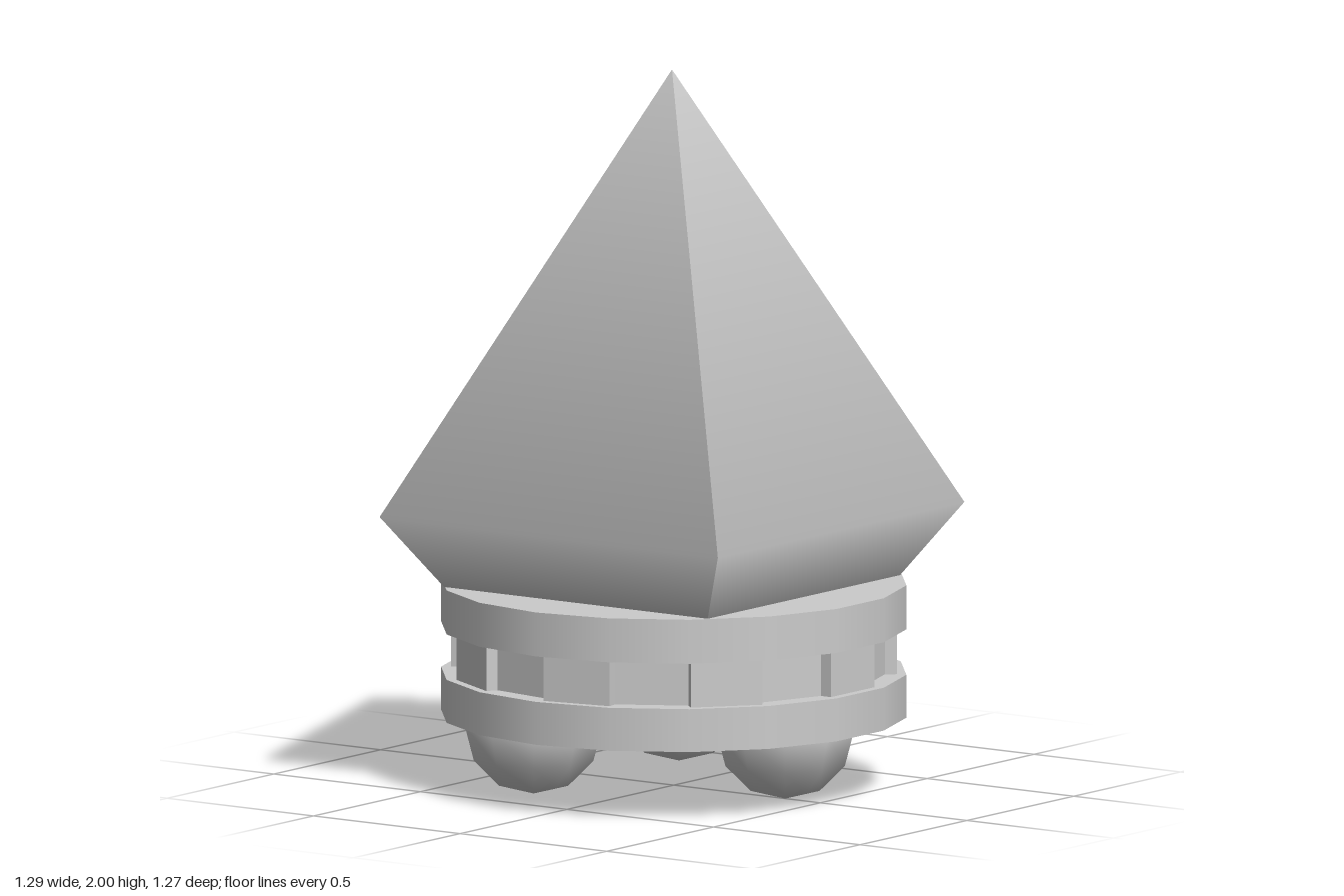
import * as THREE from 'three';

const SIDES = 18;
const material = new THREE.MeshStandardMaterial({ color: 0xcccccc });
const flatMaterial = new THREE.MeshStandardMaterial({ color: 0xcccccc, flatShading: true });

function add(parent, name, geometry, mat = material) {
  const mesh = new THREE.Mesh(geometry, mat);
  mesh.name = name;
  parent.add(mesh);
  return mesh;
}

// 18-sided drum between two heights, with corners on the x axis
function drum(radius, y0, y1) {
  return new THREE.CylinderGeometry(radius, radius, y1 - y0, SIDES, 1, false, Math.PI / SIDES)
    .translate(0, (y0 + y1) / 2, 0);
}

// One side of the crystal: undercut and long slope, smooth over the rim, sharp at the corners
function crystalSide() {
  const profile = [[0.45, 0.57], [0.577, 0.77], [0, 2]];
  const normals = [[0.84, -0.54], [0.998, -0.06], [0.905, 0.425]];
  const position = [], normal = [];
  profile.forEach(([r, y], i) => {
    const [out, up] = normals[i];
    position.push(-r, y, r, r, y, r);
    normal.push(0, up, out, 0, up, out);
  });
  const geometry = new THREE.BufferGeometry();
  geometry.setAttribute('position', new THREE.Float32BufferAttribute(position, 3));
  geometry.setAttribute('normal', new THREE.Float32BufferAttribute(normal, 3));
  geometry.setIndex([0, 1, 3, 0, 3, 2, 2, 3, 4]);
  return geometry;
}

export function createModel() {
  const model = new THREE.Group();
  model.name = 'crystalOnBase';

  // Square crystal
  const crystal = new THREE.Group();
  crystal.name = 'crystal';
  crystal.position.z = -0.006;
  model.add(crystal);
  for (let i = 0; i < 4; i++) {
    add(crystal, 'crystalSide', crystalSide()).rotation.y = i * Math.PI / 2;
  }

  // Two discs with a recessed band between them
  add(model, 'lowerDisc', drum(0.645, 0.2, 0.32));
  add(model, 'upperDisc', drum(0.645, 0.447, 0.57));
  add(model, 'band', drum(0.585, 0.32, 0.447), flatMaterial);

  // Raised block on every second face of the band, starting at the front
  const blocks = new THREE.Group();
  blocks.name = 'bandBlocks';
  model.add(blocks);
  for (let i = 0; i < SIDES / 2; i++) {
    const block = new THREE.BoxGeometry(0.203, 0.127, 0.06).translate(0, 0.3835, 0.58);
    add(blocks, 'bandBlock', block, flatMaterial).rotation.y = i * 4 * Math.PI / SIDES;
  }

  // Three half-ball feet
  for (const [x, z] of [[0, 0.38], [0.34, -0.23], [-0.34, -0.23]]) {
    const foot = new THREE.SphereGeometry(0.2, 10, 3, 0, Math.PI * 2, Math.PI / 2, Math.PI / 2);
    add(model, 'foot', foot).position.set(x, 0.2, z);
  }
  return model;
}
